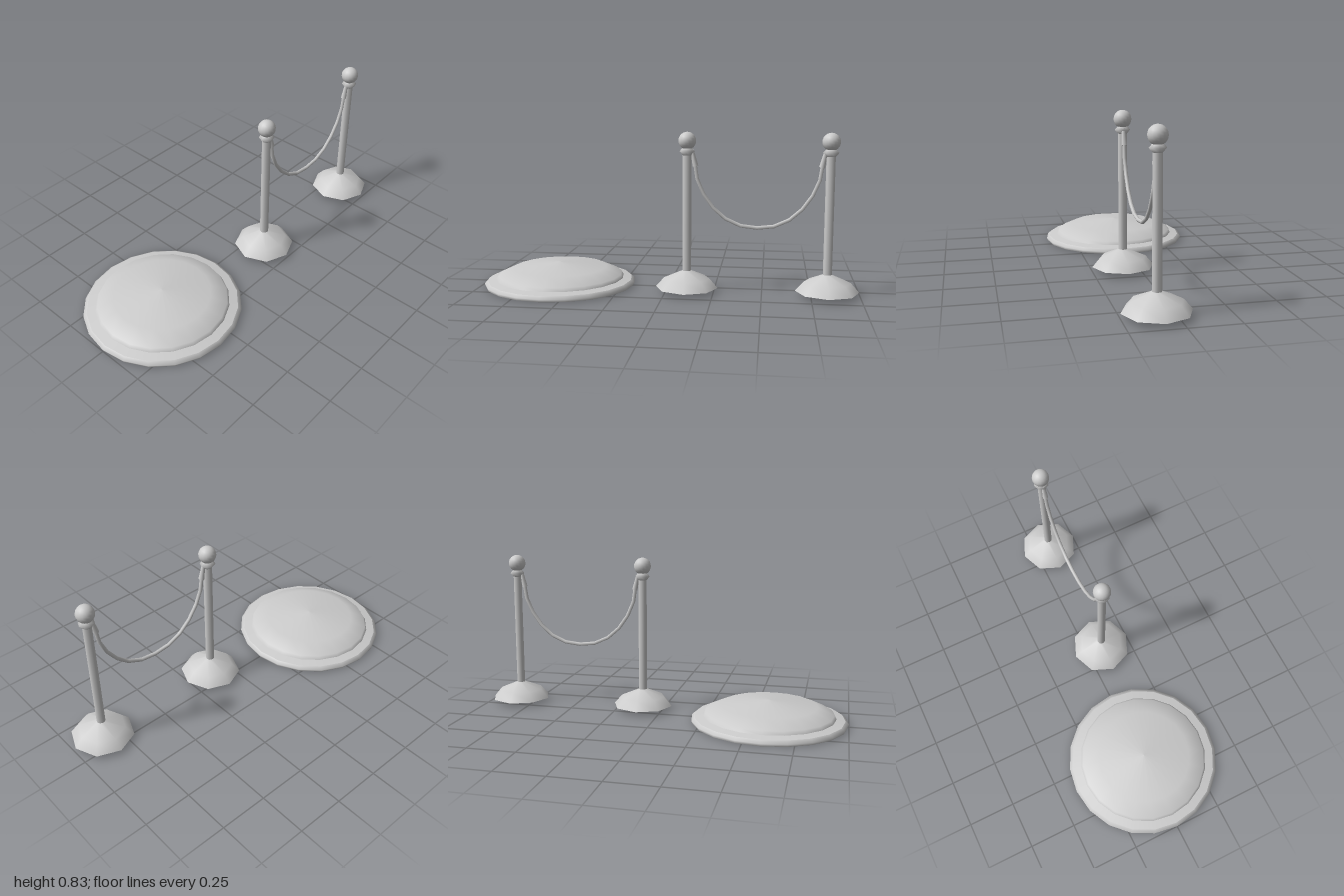
import * as THREE from 'three';

const material = new THREE.MeshStandardMaterial({ color: 0xcccccc, side: THREE.DoubleSide });

function add(parent, name, geometry, x = 0, y = 0, z = 0) {
  const mesh = new THREE.Mesh(geometry, material);
  mesh.name = name;
  mesh.position.set(x, y, z);
  parent.add(mesh);
  return mesh;
}

// Turned shape from [radius, height] pairs, listed bottom to top
function turned(profile, sides) {
  return new THREE.LatheGeometry(profile.map(([r, y]) => new THREE.Vector2(r, y)), sides);
}

function makePlatform() {
  const g = new THREE.Group();
  g.name = 'platform';
  const sides = 20;
  add(g, 'rimEdge', turned([[0.402, 0], [0.408, 0.014], [0.39, 0.028]], sides));
  add(g, 'rimTop', turned([[0.39, 0.028], [0.345, 0.037]], sides));
  add(g, 'dome', turned([[0.345, 0.037], [0.334, 0.055], [0.25, 0.093], [0, 0.119]], sides));
  // Underside with a shallow recess
  add(g, 'rimUnderside', turned([[0.355, 0.002], [0.402, 0]], sides));
  add(g, 'recessWall', turned([[0.342, 0.012], [0.355, 0.002]], sides));
  add(g, 'recessFloor', turned([[0, 0.012], [0.342, 0.012]], sides));
  g.position.x = -0.593;
  return g;
}

function makePost() {
  const g = new THREE.Group();
  g.name = 'post';
  add(g, 'foot', turned([[0.162, 0.023], [0.12, 0.071], [0.022, 0.113]], 8));
  add(g, 'footUnderside', turned([[0, 0.023], [0.162, 0.023]], 8));
  add(g, 'pole', new THREE.CylinderGeometry(0.023, 0.023, 0.62, 8, 1, true), 0, 0.415, 0);
  add(g, 'collar', turned([[0.023, 0.715], [0.04, 0.735], [0.024, 0.753]], 8));
  add(g, 'ball', new THREE.SphereGeometry(0.0457, 16, 12), 0, 0.789, 0);
  return g;
}

export function createModel() {
  const model = new THREE.Group();
  model.name = 'ropeBarrierAndPlatform';
  model.add(makePlatform());

  const barrier = new THREE.Group();
  barrier.name = 'ropeBarrier';
  barrier.position.set(0.471, 0, 0.088);
  model.add(barrier);

  for (const side of [-1, 1]) {
    const post = makePost();
    post.position.x = side * 0.361;
    barrier.add(post);

    // Flared rope end hooked under the collar
    const top = new THREE.Vector3(side * 0.336, 0.742, 0);
    const bottom = new THREE.Vector3(side * 0.318, 0.66, 0);
    const end = add(barrier, 'ropeEnd', new THREE.CylinderGeometry(0.009, 0.015, top.distanceTo(bottom), 8));
    end.position.copy(top).add(bottom).multiplyScalar(0.5);
    end.quaternion.setFromUnitVectors(new THREE.Vector3(0, 1, 0), top.sub(bottom).normalize());
  }

  // Sagging rope, mirrored about its lowest point
  const half = [[0.322, 0.68], [0.303, 0.572], [0.255, 0.485], [0.192, 0.412], [0.1, 0.36]];
  const points = [
    ...half.map(([x, y]) => new THREE.Vector3(-x, y, 0)),
    new THREE.Vector3(0, 0.346, 0),
    ...half.slice().reverse().map(([x, y]) => new THREE.Vector3(x, y, 0)),
  ];
  add(barrier, 'rope', new THREE.TubeGeometry(new THREE.CatmullRomCurve3(points), 12, 0.01, 6));

  return model;
}
